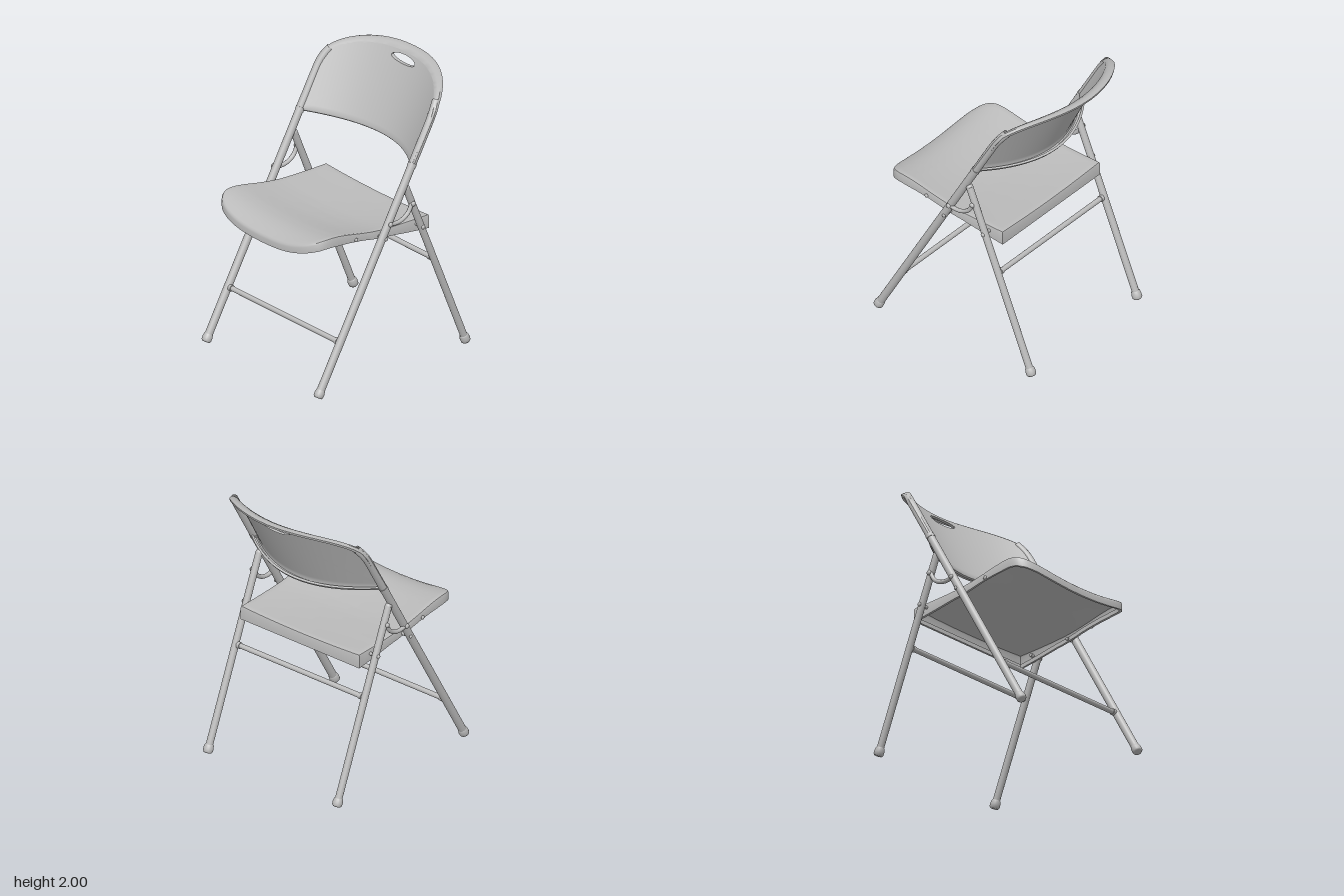
import * as THREE from 'three';
import { toCreasedNormals } from 'three/addons/utils/BufferGeometryUtils.js';

const grey = new THREE.MeshStandardMaterial({ color: 0xbbbbbb, side: THREE.DoubleSide });
grey.name = 'grey';
const V = (x, y, z) => new THREE.Vector3(x, y, z);

// Piecewise linear lookup in a short table of [key, value] pairs
function lookup(table, k) {
  for (let i = 1; i < table.length; i++) {
    const [a, va] = table[i - 1], [b, vb] = table[i];
    if (k <= b) return va + (vb - va) * Math.max(0, (k - a) / (b - a));
  }
  return table[table.length - 1][1];
}

// Joins closed rings of points into one surface
function loft(rings, crease) {
  const n = rings[0].length, pos = [], idx = [];
  for (const ring of rings) for (const p of ring) pos.push(p.x, p.y, p.z);
  for (let r = 0; r < rings.length - 1; r++) {
    for (let i = 0; i < n; i++) {
      const j = (i + 1) % n, a = r * n + i, b = r * n + j;
      idx.push(a, a + n, b, b, a + n, b + n);
    }
  }
  const g = new THREE.BufferGeometry();
  g.setAttribute('position', new THREE.Float32BufferAttribute(pos, 3));
  g.setIndex(idx);
  return toCreasedNormals(g, crease);
}

function add(parent, name, geometry) {
  const m = new THREE.Mesh(geometry, grey);
  m.name = name;
  parent.add(m);
  return m;
}

// Straight round bar from a to b
function bar(parent, name, a, b, r, r2 = r) {
  const d = b.clone().sub(a);
  const m = add(parent, name, new THREE.CylinderGeometry(r2, r, d.length(), 20));
  m.position.copy(a).addScaledVector(d, 0.5);
  m.quaternion.setFromUnitVectors(V(0, 1, 0), d.normalize());
  return m;
}

// Centre lines of the legs in the side plane
const frontZ = y => 0.67 - 0.571 * (y - 0.03);
const rearZ = y => -0.64 + 0.407 * (y - 0.03);
const LEG_X = 0.572;

// Seat heights: outer edge, sideways dip and skirt depth along z
const seatEdge = [[-0.36, 1.04], [-0.2, 1.044], [-0.07, 1.05], [0.05, 1.058], [0.14, 1.07], [0.25, 1.091],
  [0.35, 1.114], [0.43, 1.131], [0.51, 1.139], [0.57, 1.136], [0.62, 1.124], [0.66, 1.108], [0.7, 1.085]];
const seatDip = [[-0.36, 0.015], [0.3, 0.05], [0.7, 0.06]];
const skirt = [[-0.36, 0.103], [-0.02, 0.066], [0.25, 0.056], [0.46, 0.074], [0.6, 0.068], [0.7, 0.05]];
const seatY = (x, z) => lookup(seatEdge, z) - lookup(seatDip, z) * (1 - (x / 0.525) ** 2);

function seatGeometry() {
  const W = 0.525, BACK = -0.357, rim = [];
  for (let i = 0; i < 14; i++) rim.push([W, BACK + (0.45 - BACK) * i / 14]);
  for (let i = 0; i <= 44; i++) {
    const a = Math.PI * i / 44, c = Math.cos(a);
    rim.push([W * Math.sign(c) * Math.abs(c) ** (2 / 3.5), 0.45 + 0.24 * Math.abs(Math.sin(a)) ** (2 / 3.5)]);
  }
  for (let i = 1; i <= 14; i++) rim.push([-W, 0.45 + (BACK - 0.45) * i / 14]);
  for (let i = 1; i < 20; i++) rim.push([-W + 2 * W * i / 20, BACK]);
  const CZ = 0.15;
  const ring = (s, y) => rim.map(([x, z]) => {
    const px = x * s, pz = CZ + (z - CZ) * s;
    return V(px, y(px, pz, x, z), pz);
  });
  const bottom = (px, pz, x, z) => (z < BACK + 0.001 ? 0.937 : seatY(x, z) - lookup(skirt, z));
  const rings = [];
  for (let k = 0; k <= 16; k++) rings.push(ring(0.975 * k / 16, seatY));
  rings.push(ring(0.992, (x, z) => seatY(x, z) - 0.004));
  rings.push(ring(1, (x, z) => seatY(x, z) - 0.014));
  rings.push(ring(1, bottom));
  rings.push(ring(0.97, bottom));
  rings.push(ring(0.97, (px, pz, x, z) => bottom(px, pz, x, z) + 0.03));
  return loft(rings, 0.7);
}

// Front face of the curved backrest
function backZ(x, y) {
  const bulge = 0.25 - 0.04 * (y - 1.45) / 0.5;
  return frontZ(y) + 0.033 - bulge * Math.max(0, 1 - (x / 0.58) ** 2);
}

function backrestGeometry() {
  const W = 0.6, CY = 1.928, rim = [];
  const low = x => 1.45 + 0.035 * (x / W) ** 2;
  for (let i = 0; i < 12; i++) rim.push([W, low(W) + (1.75 - low(W)) * i / 12]);
  for (let i = 0; i <= 60; i++) {
    const a = Math.PI * i / 60, c = Math.cos(a);
    rim.push([W * Math.sign(c) * Math.abs(c) ** (2 / 3), 1.75 + 0.25 * Math.sin(a) ** (2 / 3)]);
  }
  for (let i = 1; i <= 12; i++) rim.push([-W, 1.75 + (low(W) - 1.75) * i / 12]);
  for (let i = 1; i < 36; i++) { const x = -W + 2 * W * i / 36; rim.push([x, low(x)]); }
  // Oval grip hole, one point for each rim point
  const hole = rim.map(([x, y]) => {
    const a = Math.atan2((y - CY) / 0.028, x / 0.118);
    return [0.118 * Math.cos(a), CY + 0.028 * Math.sin(a)];
  });
  // Rim drawn in by d on all sides
  const inset = d => rim.map(([x, y]) => [x * (1 - d / W), 1.725 + (y - 1.725) * (1 - d / 0.275)]);
  const at = (pts, back) => pts.map(([x, y], i) => V(x, y, backZ(x, y) - back(rim[i][1])));
  const edge = inset(0.025), rings = [];
  rings.push(at(hole, () => 0.025));
  for (let k = 0; k <= 18; k++) {
    const t = k / 18;
    rings.push(at(hole.map(([x, y], i) => [x + (edge[i][0] - x) * t, y + (edge[i][1] - y) * t]), () => 0));
  }
  const flare = y => lookup([[1.5, 0], [1.8, 0.005], [2, 0.025]], y);
  rings.push(at(inset(0.008), y => 0.008 + flare(y) * 0.5));
  rings.push(at(rim, y => 0.02 + flare(y)));
  rings.push(at(inset(0.004), y => 0.045 + flare(y)));
  rings.push(at(inset(0.02), y => 0.05 + flare(y)));
  rings.push(at(inset(0.028), y => 0.03 + flare(y) * 0.5));
  return loft(rings, 0.7);
}

// Rubber foot at the end of a leg
function foot(parent, name, x, zAt) {
  const pts = [[0, 0], [0.026, 0], [0.034, 0.01], [0.035, 0.03], [0.031, 0.055], [0.026, 0.06]];
  const m = add(parent, name, new THREE.LatheGeometry(pts.map(p => new THREE.Vector2(...p)), 20));
  m.position.set(x, 0.016, zAt(0.016));
  m.quaternion.setFromUnitVectors(V(0, 1, 0), V(0, 1, zAt(1) - zAt(0)).normalize());
}

// Domed rivet facing sideways
function rivet(parent, name, x, y, z, r = 0.015) {
  const m = add(parent, name, new THREE.SphereGeometry(r, 14, 10));
  m.position.set(x, y, z);
  m.scale.x = 0.7;
}

export function createModel() {
  const chair = new THREE.Group();
  chair.name = 'foldingChair';
  add(chair, 'seat', seatGeometry());
  add(chair, 'backrest', backrestGeometry());

  for (const s of [1, -1]) {
    const side = new THREE.Group();
    side.name = s > 0 ? 'leftFrame' : 'rightFrame';
    chair.add(side);
    const x = s * LEG_X;

    // Front leg runs up inside the backrest edge
    const path = new THREE.CurvePath();
    path.add(new THREE.LineCurve3(V(x, 0.03, frontZ(0.03)), V(x, 1.74, frontZ(1.74))));
    path.add(new THREE.QuadraticBezierCurve3(V(x, 1.74, frontZ(1.74)),
      V(x, 1.82, frontZ(1.82)), V(s * 0.54, 1.88, frontZ(1.88) - 0.02)));
    add(side, 'frontLeg', new THREE.TubeGeometry(path, 48, 0.028, 18));
    bar(side, 'backrestSleeve', V(x, 1.475, frontZ(1.475)), V(x, 1.5, frontZ(1.5)), 0.031);
    foot(side, 'frontFoot', x, frontZ);

    // Rear leg hinged below the backrest
    bar(side, 'rearLeg', V(x, 0.03, rearZ(0.03)), V(x, 1.33, rearZ(1.33)), 0.025);
    const cap = add(side, 'rearLegCap', new THREE.SphereGeometry(0.025, 16, 12));
    cap.position.set(x, 1.33, rearZ(1.33));
    foot(side, 'rearFoot', x, rearZ);

    // Curved folding link between the legs
    const lx = s * 0.586;
    const link = new THREE.CatmullRomCurve3([V(lx, 1.118, 0.05), V(lx, 1.108, -0.01),
      V(lx, 1.118, -0.065), V(lx, 1.15, -0.115), V(lx, 1.21, -0.15)]);
    add(side, 'foldingLink', new THREE.TubeGeometry(link, 24, 0.015, 10));
    rivet(side, 'linkFrontRivet', s * 0.6, 1.118, 0.05, 0.018);
    rivet(side, 'linkRearRivet', s * 0.6, 1.21, -0.153, 0.018);

    // Seat pivots and rivets
    bar(side, 'seatFrontPivot', V(s * 0.5, 1.02, 0.09), V(x, 1.02, 0.09), 0.012);
    bar(side, 'seatRearPivot', V(s * 0.5, 1.005, -0.243), V(x, 1.005, -0.243), 0.012);
    rivet(side, 'frontPivotRivet', s * 0.598, 1.02, 0.09, 0.013);
    rivet(side, 'rearPivotRivet', s * 0.597, 1.005, -0.243, 0.015);
    rivet(side, 'seatRivet', s * 0.528, 1.055, 0.295, 0.014);

    // Collars where the cross bars meet the legs
    bar(side, 'frontBarCollar', V(s * 0.528, 0.365, frontZ(0.365)), V(s * 0.55, 0.365, frontZ(0.365)), 0.023);
    bar(side, 'rearBarCollar', V(s * 0.528, 0.73, rearZ(0.73)), V(s * 0.55, 0.73, rearZ(0.73)), 0.023);
  }

  // Cross bars
  for (const [name, y, zAt] of [['frontCrossBar', 0.365, frontZ], ['rearCrossBar', 0.73, rearZ]]) {
    bar(chair, name, V(-LEG_X, y, zAt(y)), V(LEG_X, y, zAt(y)), 0.018);
  }
  return chair;
}
